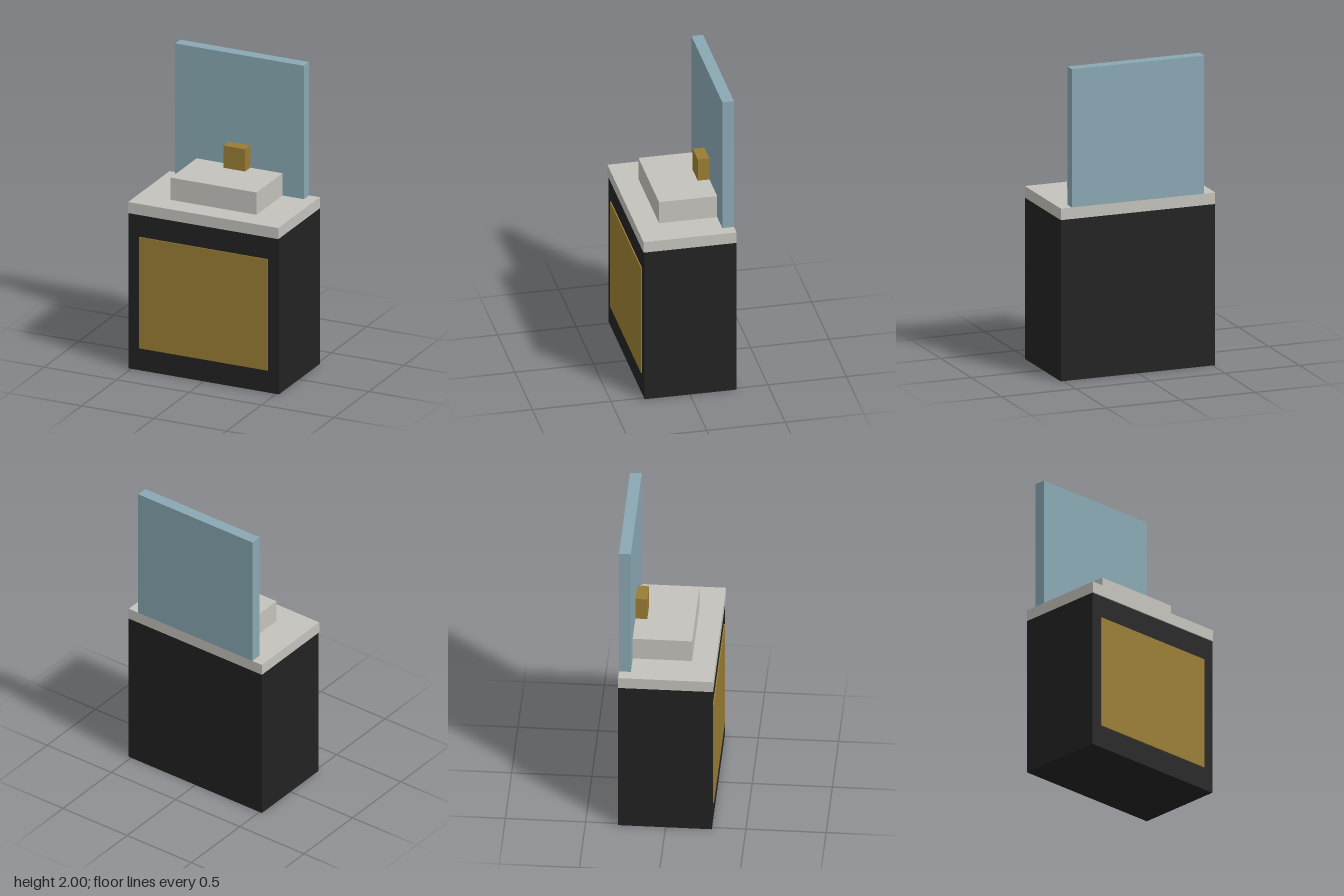
import * as THREE from 'three';

const U = 2 / 27; // one block unit; the model is 27 units tall

const material = (name, color) => {
  const m = new THREE.MeshStandardMaterial({ color });
  m.name = name;
  return m;
};

export function createModel() {
  const group = new THREE.Group();
  group.name = 'washstand';

  const black = material('black', 0x222222);
  const brass = material('brass', 0x997d33);
  const stone = material('pale stone', 0xc4c2bc);
  const glass = material('blue glass', 0x89a8b3);

  // Box centred on x, spanning y0..y1 and z0..z1 in block units
  const block = (name, mat, width, y0, y1, z0, z1) => {
    const mesh = new THREE.Mesh(
      new THREE.BoxGeometry(width * U, (y1 - y0) * U, (z1 - z0) * U), mat);
    mesh.position.set(0, (y0 + y1) / 2 * U, (z0 + z1) / 2 * U);
    mesh.name = name;
    group.add(mesh);
  };

  block('cabinet', black, 14, 0, 14, -4, 3.9);
  block('doorPanel', brass, 12, 2, 12, 3.9, 4);
  block('countertop', stone, 14, 14, 15, -4, 4);
  block('basin', stone, 8, 15, 17, -3, 2);
  block('faucet', brass, 2, 17, 19, -3, -2);
  block('mirror', glass, 12, 15, 27, -4, -3);

  return group;
}
